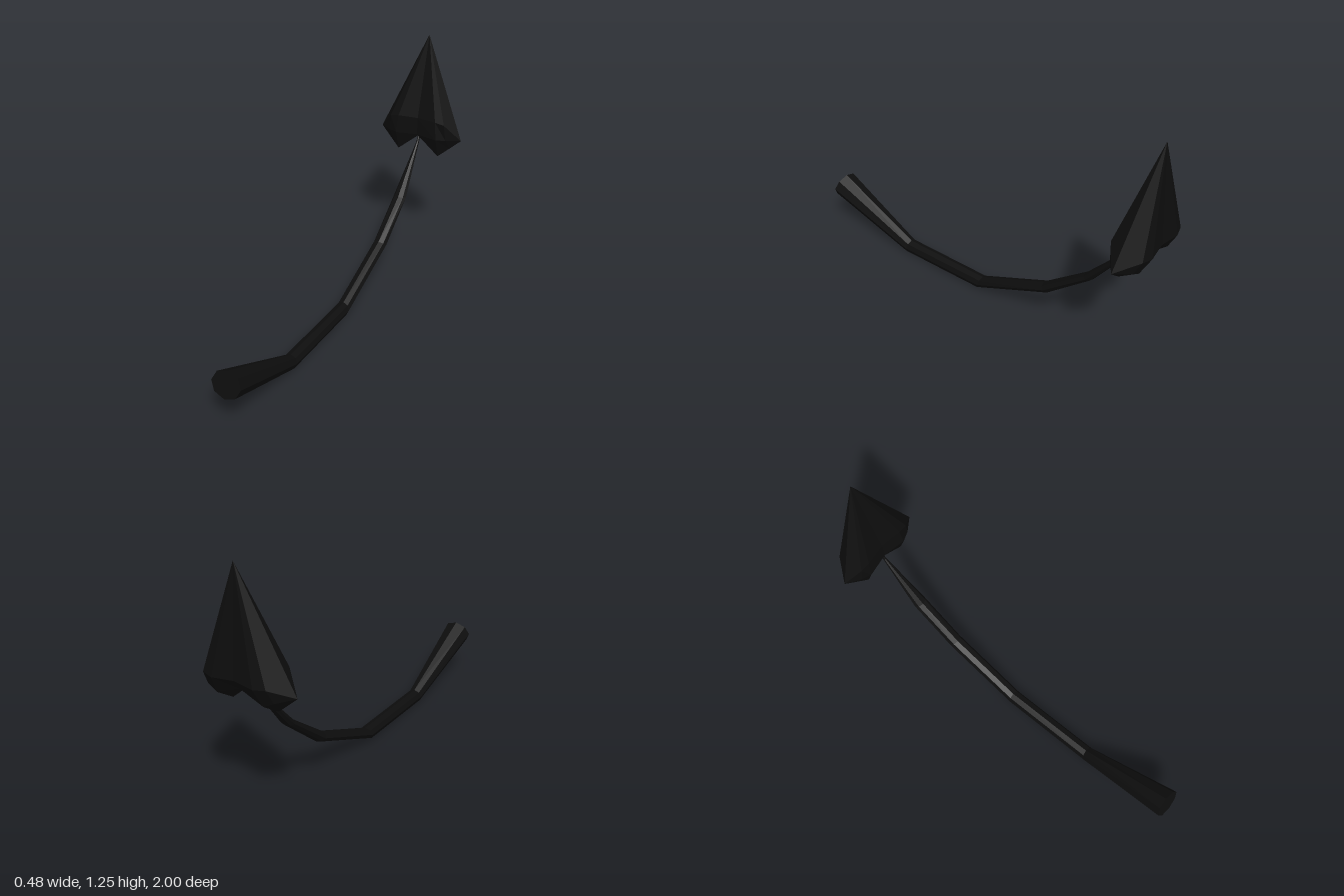
import * as THREE from 'three';

// Skin a grid of cross-sections with flat facets, skipping collapsed triangles
function skin(sections) {
  const pos = [];
  const tri = (a, b, c) => {
    const n = b.clone().sub(a).cross(c.clone().sub(a));
    if (n.length() > 1e-7) for (const p of [a, b, c]) pos.push(p.x, p.y, p.z);
  };
  for (let i = 0; i < sections.length - 1; i++) {
    const s = sections[i], t = sections[i + 1];
    for (let j = 0; j < s.length - 1; j++) {
      tri(s[j], s[j + 1], t[j + 1]);
      tri(s[j], t[j + 1], t[j]);
    }
  }
  const g = new THREE.BufferGeometry();
  g.setAttribute('position', new THREE.Float32BufferAttribute(pos, 3));
  g.computeVertexNormals();
  return g;
}

const V = (x, y, z) => new THREE.Vector3(x, y, z);

// Eight-sided ring given its half width and its top and bottom points in (z, y)
function ring([w, zt, yt, zb, yb]) {
  const pts = [];
  for (let j = 0; j <= 8; j++) {
    const a = -j * Math.PI / 4, s = Math.sin(a) / 2;
    pts.push(V(w * Math.cos(a), (yt + yb) / 2 + (yt - yb) * s, (zt + zb) / 2 + (zt - zb) * s));
  }
  return pts;
}

export function createModel() {
  const black = new THREE.MeshStandardMaterial({ color: 0x0d0d0d, flatShading: true });
  black.name = 'black';
  const model = new THREE.Group();
  model.name = 'spadeTail';

  // Curved tail, thick at the root and thin at the head, closed at both ends
  const tail = new THREE.Mesh(skin([
    [0, 0.98, 0.243, 0.98, 0.243],
    [0.077, 0.96, 0.305, 1.0, 0.18],
    [0.038, 0.48, 0.075, 0.5, 0.003],
    [0.037, -0.02, 0.08, 0, 0.01],
    [0.037, -0.4, 0.248, -0.445, 0.213],
    [0.036, -0.625, 0.42, -0.675, 0.412],
    [0.008, -0.842, 0.665, -0.856, 0.655],
    [0.006, -0.868, 0.715, -0.88, 0.705],
    [0, -0.874, 0.71, -0.874, 0.71],
  ].map(ring)), black);
  tail.name = 'tail';

  // Arrow-shaped head: each section runs tip, front, underside, back, tip
  const tip = V(0, 1.25, -0.945);
  const section = (pts, side) => [tip, ...pts.map(([x, y, z]) => V(x * side, y, z)), tip];
  const centre = [[0, 0.81, -0.84], [0, 0.715, -0.838], [0, 0.7, -0.89], [0, 0.71, -0.95], [0, 0.76, -0.985]];
  const lobe = [[0.11, 0.81, -0.825], [0.12, 0.71, -0.82], [0.12, 0.6, -0.86], [0.12, 0.665, -0.955], [0.105, 0.755, -1]];
  const shoulder = [[0.16, 0.8, -0.83], [0.17, 0.71, -0.84], [0.18, 0.652, -0.875], [0.17, 0.69, -0.95], [0.16, 0.76, -0.985]];
  const corner = Array(5).fill([0.24, 0.705, -0.89]);
  const half = [corner, shoulder, lobe];
  const head = new THREE.Mesh(skin([
    ...half.map((p) => section(p, -1)),
    section(centre, 1),
    ...half.slice().reverse().map((p) => section(p, 1)),
  ]), black);
  head.name = 'arrowHead';

  model.add(tail, head);
  return model;
}
